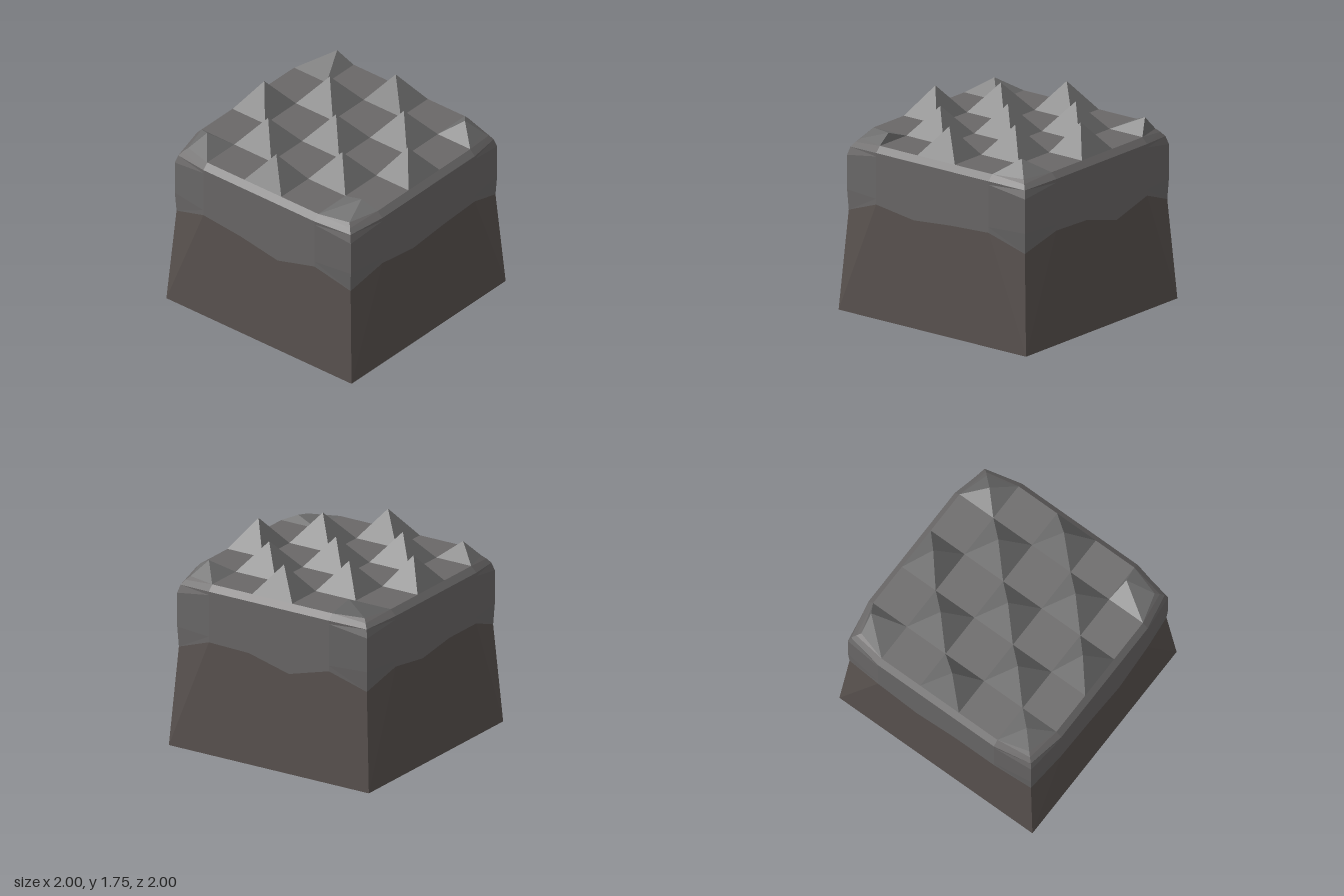
import * as THREE from 'three';

// Collects flat-shaded triangles; corners run counter-clockwise seen from outside
class Facets {
  constructor() { this.pos = []; }
  tri(a, b, c) { this.pos.push(...a, ...b, ...c); }
  // flip chooses the other diagonal
  quad(a, b, c, d, flip = false) {
    if (flip) { this.tri(a, b, d); this.tri(b, c, d); }
    else { this.tri(a, b, c); this.tri(a, c, d); }
  }
  mesh(name, color) {
    const g = new THREE.BufferGeometry();
    g.setAttribute('position', new THREE.Float32BufferAttribute(this.pos, 3));
    g.computeVertexNormals();
    const m = new THREE.Mesh(g, new THREE.MeshStandardMaterial({ color, flatShading: true }));
    m.name = name;
    return m;
  }
}

// Corner edge: [distance from centre in x and z, height], bottom to top
const CORNER = [[1, 0], [0.94, 0.87], [0.95, 1.05], [0.95, 1.35], [0.93, 1.42], [0.9, 1.46], [0.87, 1.49]];
// Side panel between the corners: [distance from centre, height]; row 1 is the seam
const PANEL = [[1, 0], [1, 1], [1, 1.05], [1, 1.35], [1, 1.42], [1, 1.45], [0.95, 1.5]];
const INNER = [-0.6, -0.2, 0.2, 0.6];
// Wavy seam heights for front, left, back and right sides
const SEAMS = [
  [1, 0.945, 0.98, 1],
  [1, 0.99, 0.89, 1],
  [1, 0.945, 1, 1],
  [1, 0.96, 0.89, 1],
];

function buildSides(base, cap) {
  SEAMS.forEach((seam, side) => {
    const c = [1, 0, -1, 0][side], s = [0, 1, 0, -1][side];
    const place = (u, y, w) => [u * c + w * s, y, -u * s + w * c];
    const corner = (sign) => CORNER.map(([r, y]) => place(sign * r, y, r));
    const columns = [
      corner(-1),
      ...INNER.map((u, i) => PANEL.map(([w, y], row) => place(u, row === 1 ? seam[i] : y, w))),
      corner(1),
    ];
    for (let i = 0; i < columns.length - 1; i++) {
      const l = columns[i], r = columns[i + 1];
      for (let j = 0; j < l.length - 1; j++) {
        (j === 0 ? base : cap).quad(l[j], r[j], r[j + 1], l[j + 1], i === 4);
      }
    }
  });
}

// Checkerboard of flat tiles and pyramids, with bent corner spikes
function buildTop(tiles, spikes) {
  const lines = [-0.95, ...INNER, 0.95];
  const isEnd = (i) => i === 0 || i === 5;
  const point = (i, j) => isEnd(i) && isEnd(j)
    ? [Math.sign(lines[i]) * 0.87, 1.49, Math.sign(lines[j]) * 0.87]
    : [lines[i], 1.5, lines[j]];
  const cornerTips = {
    '00': [-0.76, 1.63, -0.76],
    '40': [0.88, 1.63, -0.72],
    '04': [-0.63, 1.57, 0.8],
    '44': [0.76, 1.62, 0.76],
  };
  for (let i = 0; i < 5; i++) {
    for (let j = 0; j < 5; j++) {
      const ring = [point(i, j), point(i, j + 1), point(i + 1, j + 1), point(i + 1, j)];
      if ((i + j) % 2) { tiles.quad(...ring); continue; }
      const tip = cornerTips[`${i}${j}`]
        ?? [(lines[i] + lines[i + 1]) / 2, 1.75, (lines[j] + lines[j + 1]) / 2];
      ring.forEach((p, k) => spikes.tri(p, ring[(k + 1) % 4], tip));
    }
  }
}

export function createModel() {
  const model = new THREE.Group();
  model.name = 'spikedBlock';
  const base = new Facets(), cap = new Facets(), tiles = new Facets(), spikes = new Facets();
  buildSides(base, cap);
  buildTop(tiles, spikes);
  // Underside
  base.quad([-1, 0, -1], [1, 0, -1], [1, 0, 1], [-1, 0, 1]);

  model.add(
    base.mesh('earthBase', 0x5a5350),
    cap.mesh('stoneRim', 0x6a6868),
    tiles.mesh('topTiles', 0x6a6868),
    spikes.mesh('topSpikes', 0x6e6e6e),
  );
  return model;
}
